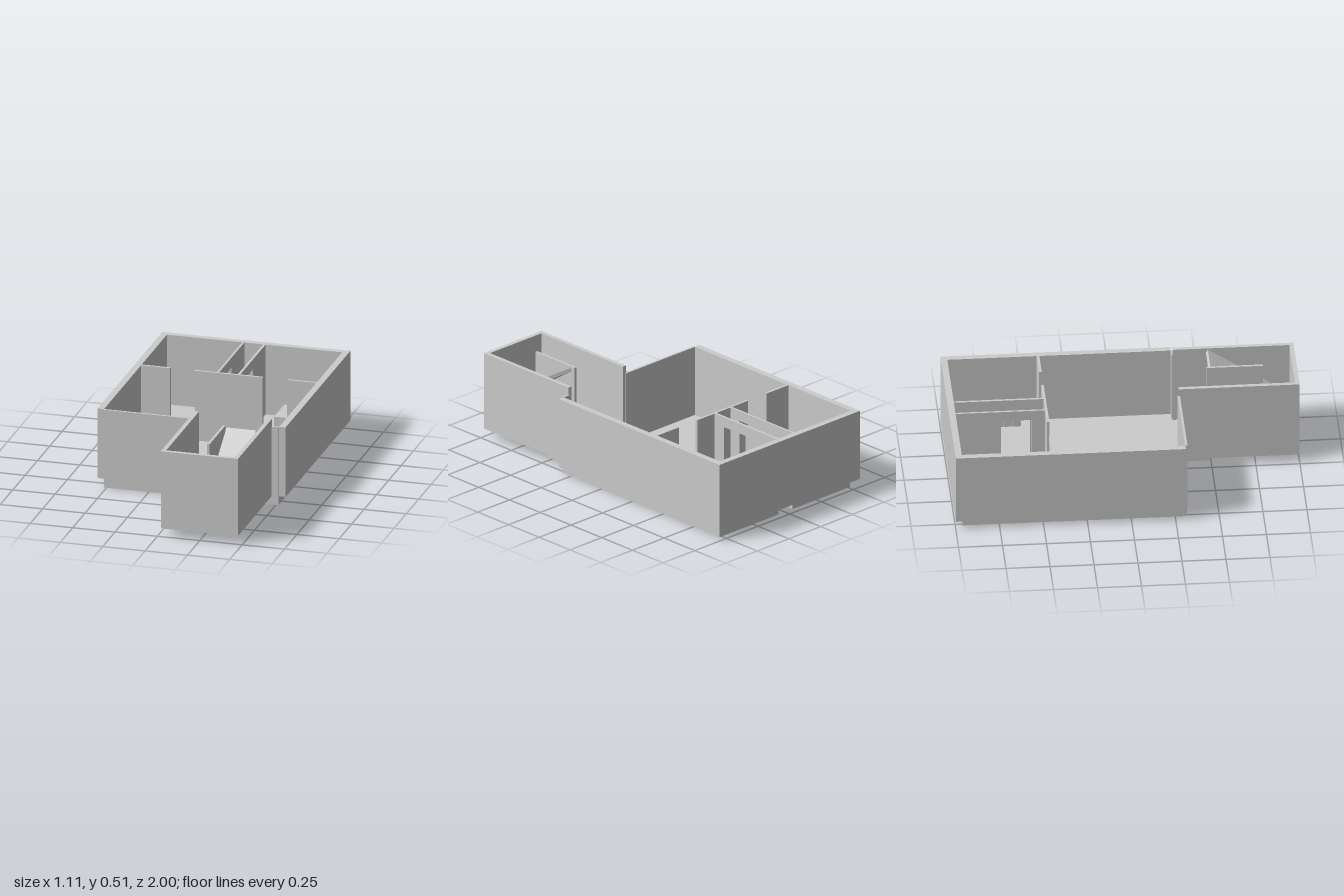
import * as THREE from 'three';

const material = new THREE.MeshStandardMaterial({ color: 0xcccccc });

// Box given by its min/max extents on each axis
function block(parent, name, [x0, x1], [y0, y1], [z0, z1]) {
  const mesh = new THREE.Mesh(new THREE.BoxGeometry(x1 - x0, y1 - y0, z1 - z0), material);
  mesh.name = name;
  mesh.position.set((x0 + x1) / 2, (y0 + y1) / 2, (z0 + z1) / 2);
  parent.add(mesh);
  return mesh;
}

// Sloping slab whose top surface runs between two (z, y) points
function ramp(parent, name, [x0, x1], [za, ya], [zb, yb], thick) {
  const length = Math.hypot(zb - za, yb - ya);
  const mesh = new THREE.Mesh(new THREE.BoxGeometry(x1 - x0, thick, length), material);
  const angle = Math.atan2(yb - ya, zb - za);
  mesh.name = name;
  mesh.rotation.x = -angle;
  mesh.position.set(
    (x0 + x1) / 2,
    (ya + yb) / 2 - (Math.cos(angle) * thick) / 2,
    (za + zb) / 2 + (Math.sin(angle) * thick) / 2
  );
  parent.add(mesh);
}

function group(parent, name) {
  const g = new THREE.Group();
  g.name = name;
  parent.add(g);
  return g;
}

export function createModel() {
  const model = new THREE.Group();
  model.name = 'apartment';
  const base = 0.05, top = 0.47, stairTop = 0.515;
  const wallY = [base, top];

  // Floor slab, slotted at the back for the shaft
  const slab = new THREE.Shape([
    [-0.515, 0.96], [-0.06, 0.96], [-0.06, 0.455], [0.05, 0.455],
    [0.05, 0.96], [0.515, 0.96], [0.515, -0.317], [-0.515, -0.317],
  ].map(([x, y]) => new THREE.Vector2(x, y)));
  const floor = new THREE.Mesh(
    new THREE.ExtrudeGeometry(slab, { depth: base, bevelEnabled: false }).rotateX(-Math.PI / 2), material);
  floor.name = 'floor';
  model.add(floor);
  block(model, 'shaftBridge', [-0.06, 0.05], [0, base], [-0.705, -0.53]);

  // Outer walls
  const outer = group(model, 'outerWalls');
  block(outer, 'backWall', [-0.555, 0.555], wallY, [-1, -0.963]);
  block(outer, 'rightWall', [-0.555, -0.517], wallY, [-0.963, 0.308]);
  block(outer, 'leftWall', [0.517, 0.555], wallY, [-0.963, 0.308]);
  block(outer, 'frontWallRight', [-0.517, 0.03], wallY, [0.306, 0.32]);
  block(outer, 'frontWallLeft', [0.465, 0.517], wallY, [0.306, 0.32]);

  // Partition with two door gaps
  const inner = group(model, 'innerWalls');
  for (const xs of [[-0.517, -0.345], [-0.2, 0.2], [0.345, 0.517]])
    block(inner, 'partition', xs, wallY, [-0.455, -0.44]);

  // Shaft walls, each with a doorway
  for (const xs of [[-0.073, -0.06], [0.05, 0.065]]) {
    block(inner, 'shaftWallBack', xs, wallY, [-0.963, -0.705]);
    block(inner, 'shaftWallFront', xs, wallY, [-0.53, -0.455]);
    block(inner, 'shaftLintel', xs, [0.41, top], [-0.705, -0.53]);
  }

  // Low platform and row of small blocks in the back room
  block(model, 'platform', [0.175, 0.465], [base, 0.12], [-0.963, -0.755]);
  const row = group(model, 'blockRow');
  for (let i = 0; i < 8; i++) {
    const z = -0.55 - i * 0.0515 - (i > 3 ? 0.01 : 0);
    block(row, 'smallBlock', [0.45, 0.5], [base, 0.09], [z - 0.049, z]);
  }

  // Stairwell enclosure
  const stairs = group(model, 'stairwell');
  const stairY = [base, stairTop];
  block(stairs, 'stairWallRight', [0.02, 0.045], stairY, [0.312, 0.975]);
  block(stairs, 'stairWallLeft', [0.45, 0.475], stairY, [0.312, 0.975]);
  block(stairs, 'stairWallFront', [0.02, 0.475], stairY, [0.975, 1]);
  block(stairs, 'stairMiddleWall', [0.238, 0.253], stairY, [0.49, 0.81]);
  block(stairs, 'stairEntryFloor', [0.045, 0.45], [0.02, base], [0.317, 0.49]);

  // Two flights meeting at a half landing
  block(stairs, 'landing', [0.045, 0.45], [0.245, 0.265], [0.81, 0.975]);
  ramp(stairs, 'lowerFlight', [0.055, 0.23], [0.44, 0.06], [0.81, 0.265], 0.02);
  ramp(stairs, 'upperFlight', [0.265, 0.44], [0.85, 0.265], [0.5, 0.495], 0.02);

  return model;
}
